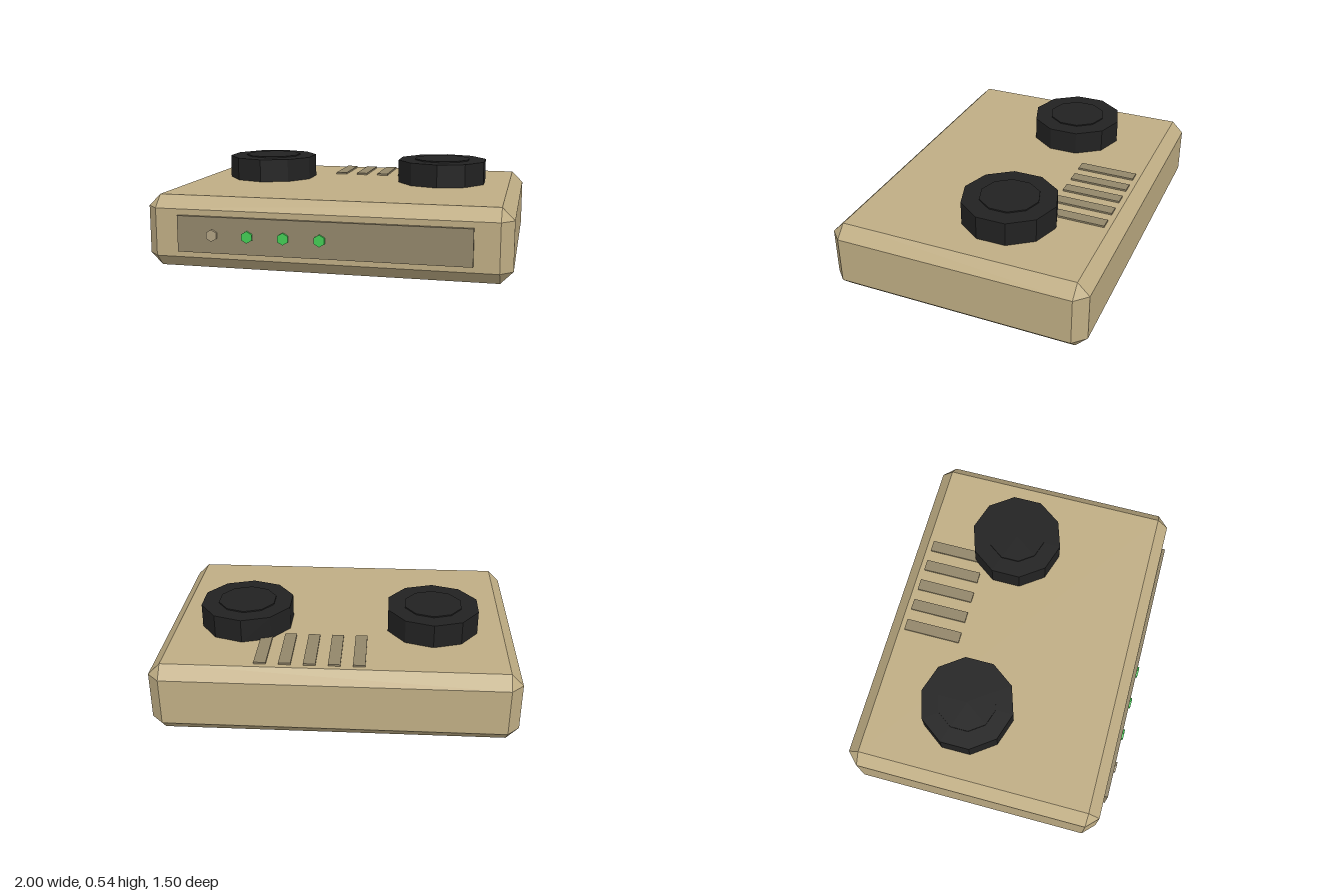
import * as THREE from 'three';
import { ConvexGeometry } from 'three/addons/geometries/ConvexGeometry.js';

const mat = (name, color) => {
  const m = new THREE.MeshStandardMaterial({ color, flatShading: true });
  m.name = name;
  return m;
};

// Box with every edge chamfered by b
function chamferedBox(w, h, d, b) {
  const points = [];
  for (const sx of [-1, 1]) for (const sy of [-1, 1]) for (const sz of [-1, 1]) {
    for (const inset of [[0, b, b], [b, 0, b], [b, b, 0]]) {
      points.push(new THREE.Vector3(
        sx * (w / 2 - inset[0]), sy * (h / 2 - inset[1]), sz * (d / 2 - inset[2])));
    }
  }
  return new ConvexGeometry(points);
}

export function createModel() {
  const model = new THREE.Group();
  const beige = mat('beige casing', 0xbfad84);
  const taupe = mat('taupe trim', 0x92866a);
  const black = mat('black knob', 0x222222);
  const green = mat('green light', 0x44cc55);
  const unlit = mat('unlit light', 0xb0a283);

  const add = (name, geometry, material, x, y, z, parent = model) => {
    const mesh = new THREE.Mesh(geometry, material);
    mesh.name = name;
    mesh.position.set(x, y, z);
    parent.add(mesh);
    return mesh;
  };

  // Casing and front panel
  add('casing', chamferedBox(2, 0.4, 1.466, 0.067), beige, 0, 0.2, -0.017);
  add('frontPanel', new THREE.BoxGeometry(1.6, 0.2, 0.04), taupe, 0, 0.2, 0.716);

  // Row of indicator lights, the first one off
  for (let i = 0; i < 4; i++) {
    const light = add('indicatorLight' + (i + 1), new THREE.CylinderGeometry(0.033, 0.033, 0.03, 6),
      i === 0 ? unlit : green, -0.6 + i * 0.2, 0.2, 0.735);
    light.rotation.x = Math.PI / 2;
  }

  // Vent slats on top
  for (let i = 0; i < 5; i++) {
    add('ventSlat' + (i + 1), new THREE.BoxGeometry(0.066, 0.02, 0.333), taupe,
      -0.133 + i * 0.133, 0.4, -0.487);
  }

  // Ten-sided knobs with a raised cap
  for (const [name, side] of [['leftKnob', 1], ['rightKnob', -1]]) {
    const knob = new THREE.Group();
    knob.name = name;
    knob.position.set(side * 0.533, 0.4, -0.153);
    add('knobBody', new THREE.CylinderGeometry(0.267, 0.267, 0.134, 10), black, 0, 0.067, 0, knob);
    add('knobCap', new THREE.CylinderGeometry(0.167, 0.167, 0.02, 10), black, 0, 0.131, 0, knob);
    model.add(knob);
  }

  return model;
}
